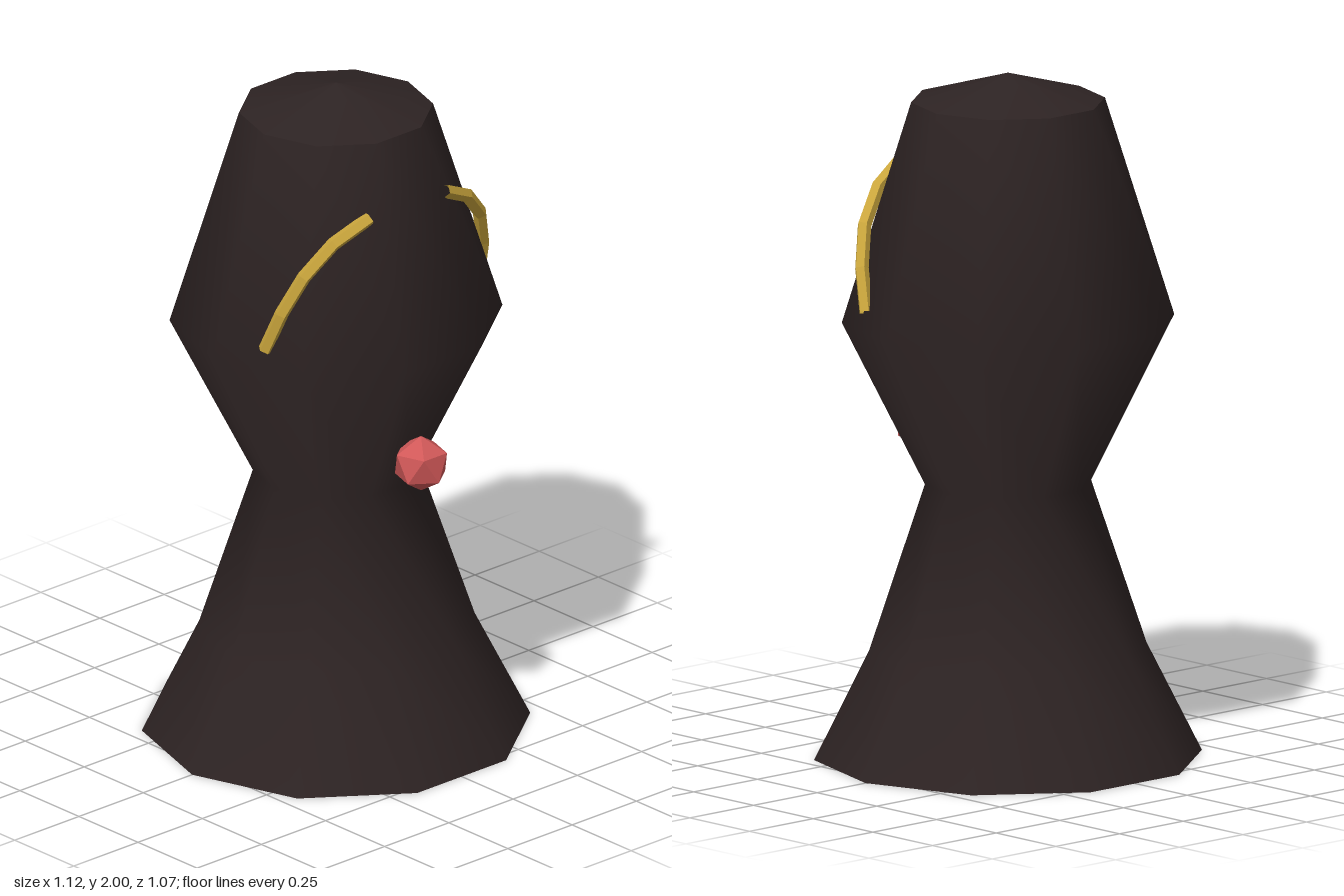
import * as THREE from 'three';

const v2 = (x, y) => new THREE.Vector2(x, y);

export function createModel() {
  const group = new THREE.Group();
  const dark = new THREE.MeshStandardMaterial({ name: 'darkBrown', color: 0x2d2323 });
  const gold = new THREE.MeshStandardMaterial({ name: 'gold', color: 0xc9a53c, flatShading: true, side: THREE.DoubleSide });
  const red = new THREE.MeshStandardMaterial({ name: 'red', color: 0xd05858, flatShading: true });

  const add = (name, geometry, material) => {
    const mesh = new THREE.Mesh(geometry, material);
    mesh.name = name;
    group.add(mesh);
    return mesh;
  };
  // Ten-sided turned shape with a corner on the x axis
  const turned = (points) => new THREE.LatheGeometry(points, 10, Math.PI / 2);

  // Waisted body with smooth sides, shallow cone on top, flat base
  add('body', turned([v2(0.56, 0), v2(0.4, 0.32), v2(0.24, 0.8), v2(0.48, 1.28), v2(0.28, 1.92)]), dark);
  add('topCap', turned([v2(0.28, 1.92), v2(0, 2)]), dark);
  add('base', new THREE.CircleGeometry(0.56, 10).rotateX(Math.PI / 2), dark);

  // Curved gold bands, half sunk into the shoulders
  for (const side of [1, -1]) {
    const path = new THREE.CatmullRomCurve3([
      [0.145, 1.715, 0.3], [0.27, 1.65, 0.268], [0.37, 1.52, 0.22], [0.416, 1.335, 0.152],
    ].map(([x, y, z]) => new THREE.Vector3(side * x, y, z)));
    add(side > 0 ? 'leftBand' : 'rightBand', new THREE.TubeGeometry(path, 4, 0.021, 5), gold);
  }

  // Faceted gem standing on a corner in front of the waist
  const tilt = Math.atan((1 + Math.sqrt(5)) / 2);
  const gem = new THREE.IcosahedronGeometry(0.085, 0).rotateX(-tilt).rotateY(Math.PI);
  add('gem', gem, red).position.set(0, 0.925, 0.36);

  return group;
}
